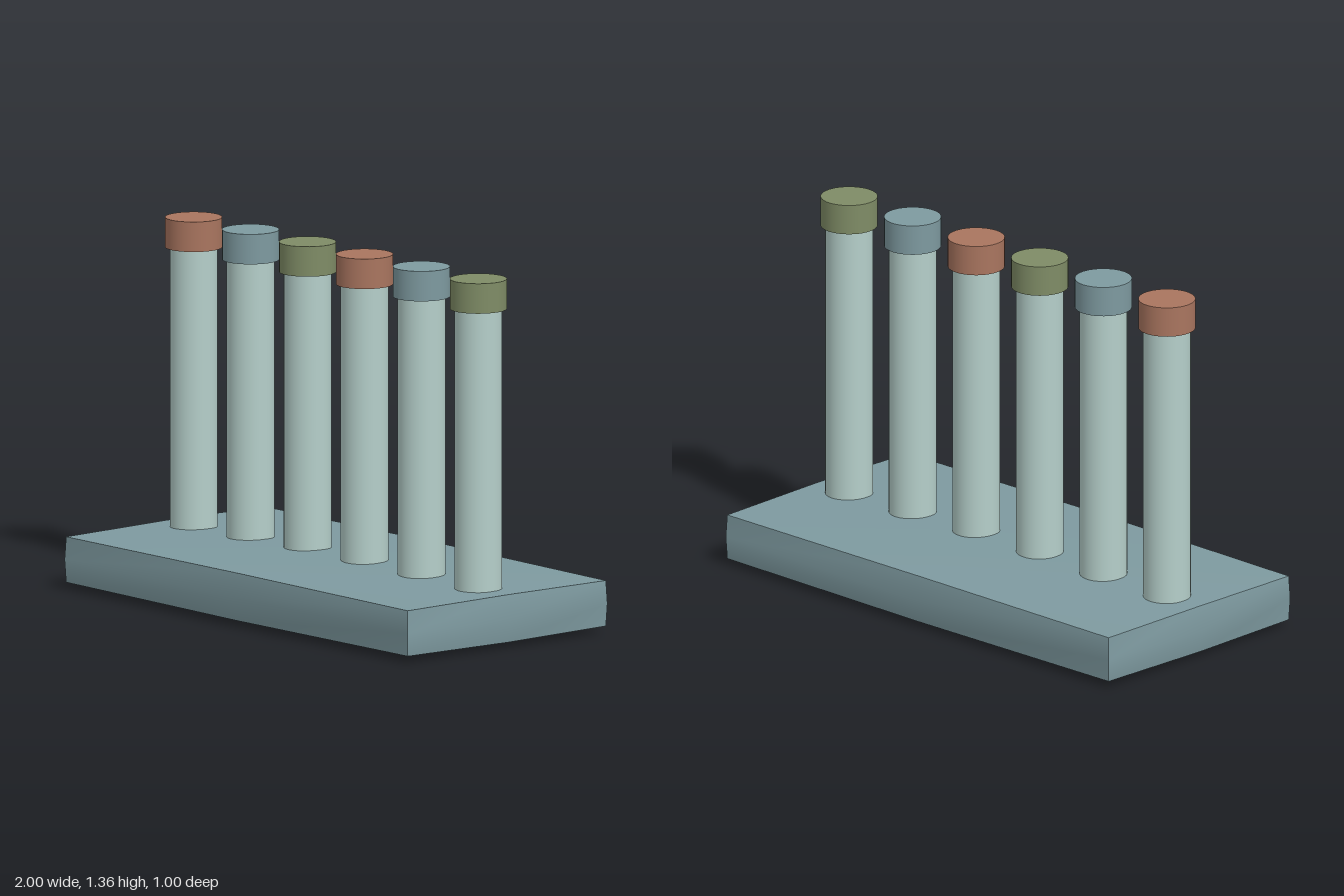
import * as THREE from 'three';

const mat = (name, color) => {
  const m = new THREE.MeshStandardMaterial({ color });
  m.name = name;
  return m;
};

export function createModel() {
  const slate = mat('slate blue', 0x7e9aa0);
  const pale = mat('pale teal', 0xb5cfca);
  const terracotta = mat('terracotta', 0xa9755f);
  const olive = mat('olive green', 0x7f8c66);

  const group = new THREE.Group();
  group.name = 'tubeRack';
  const add = (name, geometry, material, x, y) => {
    const mesh = new THREE.Mesh(geometry, material);
    mesh.name = name;
    mesh.position.set(x, y, 0);
    group.add(mesh);
  };

  // Base slab: each face swells gently towards its centre, with crisp edges
  const half = [0.975, 0.085, 0.475];
  const slab = new THREE.BoxGeometry(2, 2, 2, 2, 2, 2);
  const pos = slab.attributes.position;
  for (let i = 0; i < pos.count; i++) {
    const v = [pos.getX(i), pos.getY(i), pos.getZ(i)];
    const zeros = v.filter((c) => Math.abs(c) < 0.01).length;
    const bulge = [0, 0.004, 0.025][zeros];
    pos.setXYZ(i, ...v.map((c, k) => c * (half[k] + bulge)));
  }
  slab.computeVertexNormals();
  add('base', slab, slate, 0, 0.11);

  // Row of upright tubes with caps in a repeating colour order
  const tube = new THREE.CylinderGeometry(0.088, 0.088, 1.15, 40);
  const cap = new THREE.CylinderGeometry(0.105, 0.105, 0.112, 40);
  const capColours = [terracotta, slate, olive];
  for (let i = 0; i < 6; i++) {
    const x = (i - 2.5) * 0.325;
    add(`tube${i + 1}`, tube, pale, x, 0.685);
    add(`cap${i + 1}`, cap, capColours[i % 3], x, 1.3);
  }
  return group;
}
